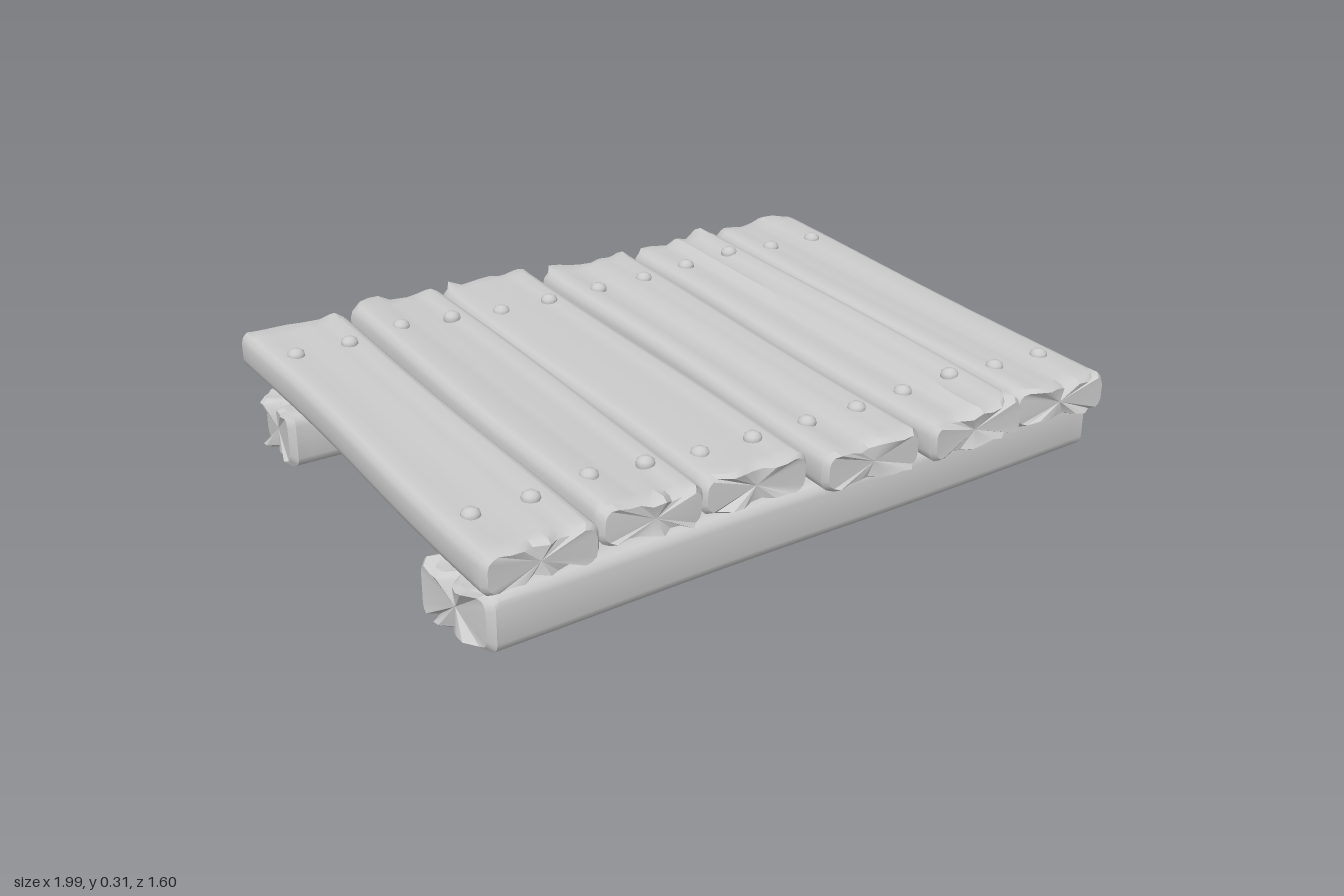
import * as THREE from 'three';
import { toCreasedNormals } from 'three/addons/utils/BufferGeometryUtils.js';

const material = new THREE.MeshStandardMaterial({ color: 0xcccccc });

function seeded(seed) {
  let s = seed * 7919 + 17;
  return () => (s = (s * 16807) % 2147483647) / 2147483647;
}

// Rough timber running along z: rounded grooved section, wavy sides, splintered ends
function timberGeometry({ width, height, z0, z1, seed, bevel, groove, wave, jag }) {
  const rand = seeded(seed);
  for (let i = 0; i < 5; i++) rand();
  const hw = width / 2, hh = height / 2, columns = 7;

  // Section, counter-clockwise seen from +z
  const section = [];
  const corner = (sx, sy, start) => {
    for (let i = 0; i <= 3; i++) {
      const a = start + (i / 3) * Math.PI / 2;
      section.push([sx * (hw - bevel) + bevel * Math.cos(a), sy * (hh - bevel) + bevel * Math.sin(a)]);
    }
  };
  const edge = (sy) => {
    for (let i = 1; i < columns; i++) {
      const x = (hw - bevel) * (1 - (2 * i) / columns) * sy;
      section.push([x, sy * (hh - groove * rand())]);
    }
  };
  corner(1, 1, 0);
  edge(1);
  corner(-1, 1, Math.PI / 2);
  corner(-1, -1, Math.PI);
  edge(-1);
  corner(1, -1, Math.PI * 1.5);

  // Splinter depth across the width, one list for each end
  const splinters = [0, 1].map(() => Array.from({ length: columns + 1 }, () => jag * rand()));
  splinters.forEach((list) => { list[1 + Math.floor(rand() * (columns - 1))] = 0; });
  const phase = rand() * 6;

  // Rings from back to front: [z, scale, splinter list]
  const rings = [[z0, 0.84, 0], [z0 + 0.018, 1, 0]];
  const steps = 14;
  for (let i = 0; i <= steps; i++) {
    rings.push([THREE.MathUtils.lerp(z0 + 0.07, z1 - 0.07, i / steps), 1, -1]);
  }
  rings.push([z1 - 0.018, 1, 1], [z1, 0.84, 1]);

  const n = section.length, position = [], index = [];
  rings.forEach(([z, scale, end]) => {
    const left = wave * Math.sin(z * 4.5 + phase), right = wave * Math.sin(z * 3.7 + phase * 2);
    section.forEach(([x, y]) => {
      const column = Math.round((x / width + 0.5) * columns);
      const cut = end < 0 ? 0 : splinters[end][column] * (end ? -1 : 1);
      const sx = hw - (1 - scale) * hh * 1.4;
      const lift = end < 0 ? 0 : (splinters[end][column] - jag / 2) * 0.25;
      position.push((x / hw) * sx + (x > 0 ? right : left) * Math.abs(x / hw), y * scale - (y > 0 ? lift : 0), z + cut);
    });
  });
  for (let j = 0; j < rings.length - 1; j++) {
    for (let i = 0; i < n; i++) {
      const k = (i + 1) % n, a = j * n, b = a + n;
      index.push(a + i, a + k, b + k, a + i, b + k, b + i);
    }
  }
  // End grain
  const last = (rings.length - 1) * n, back = rings.length * n;
  position.push(0, 0, z0 + jag * 0.6, 0, 0, z1 - jag * 0.6);
  for (let i = 0; i < n; i++) {
    const k = (i + 1) % n;
    index.push(back, k, i, back + 1, last + i, last + k);
  }

  const geometry = new THREE.BufferGeometry();
  geometry.setAttribute('position', new THREE.Float32BufferAttribute(position, 3));
  geometry.setIndex(index);
  return toCreasedNormals(geometry, 0.6);
}

function nailGeometry() {
  const profile = [[0, -0.03], [0.022, -0.03], [0.025, 0], [0.023, 0.01], [0.014, 0.017], [0, 0.02]];
  return new THREE.LatheGeometry(profile.map(([x, y]) => new THREE.Vector2(x, y)), 12);
}

export function createModel() {
  const model = new THREE.Group();
  const add = (name, geometry, x, y, z) => {
    const mesh = new THREE.Mesh(geometry, material);
    mesh.name = name;
    mesh.position.set(x, y, z);
    model.add(mesh);
    return mesh;
  };

  // Two slightly skewed support beams
  [['frontBeam', 0.58, 0.265, 0.045, 31], ['backBeam', -0.507, 0.24, 0.022, 47]].forEach(([name, z, width, skew, seed]) => {
    const geometry = timberGeometry({ width, height: 0.16, z0: -0.995, z1: 0.995, seed, bevel: 0.032, groove: 0.012, wave: 0.004, jag: 0.045 });
    add(name, geometry, 0, 0.082, z).rotation.y = Math.PI / 2 + skew;
  });

  // Deck planks: centre x, width, centre y, back z, front z, tilt
  const planks = [
    [-0.81, 0.312, 0.228, -0.74, 0.785, 0],
    [-0.49, 0.306, 0.238, -0.76, 0.77, -0.06],
    [-0.17, 0.306, 0.217, -0.80, 0.725, 0],
    [0.16, 0.306, 0.217, -0.755, 0.775, 0],
    [0.473, 0.306, 0.232, -0.735, 0.795, 0.07],
    [0.793, 0.308, 0.222, -0.76, 0.77, -0.02],
  ];
  const nail = nailGeometry();
  planks.forEach(([x, width, y, z0, z1, tilt], i) => {
    const geometry = timberGeometry({ width, height: 0.112, z0, z1, seed: i + 3, bevel: 0.034, groove: 0.014, wave: 0.006, jag: 0.03 });
    add(`plank${i + 1}`, geometry, x, y, 0).rotation.z = tilt;
    // Two nails over each beam
    for (const z of [-0.505, 0.57]) {
      for (const dx of [-0.08, 0.08]) {
        add('nail', nail, x + dx, y + 0.052 + dx * Math.tan(tilt), z).rotation.z = tilt;
      }
    }
  });
  return model;
}
